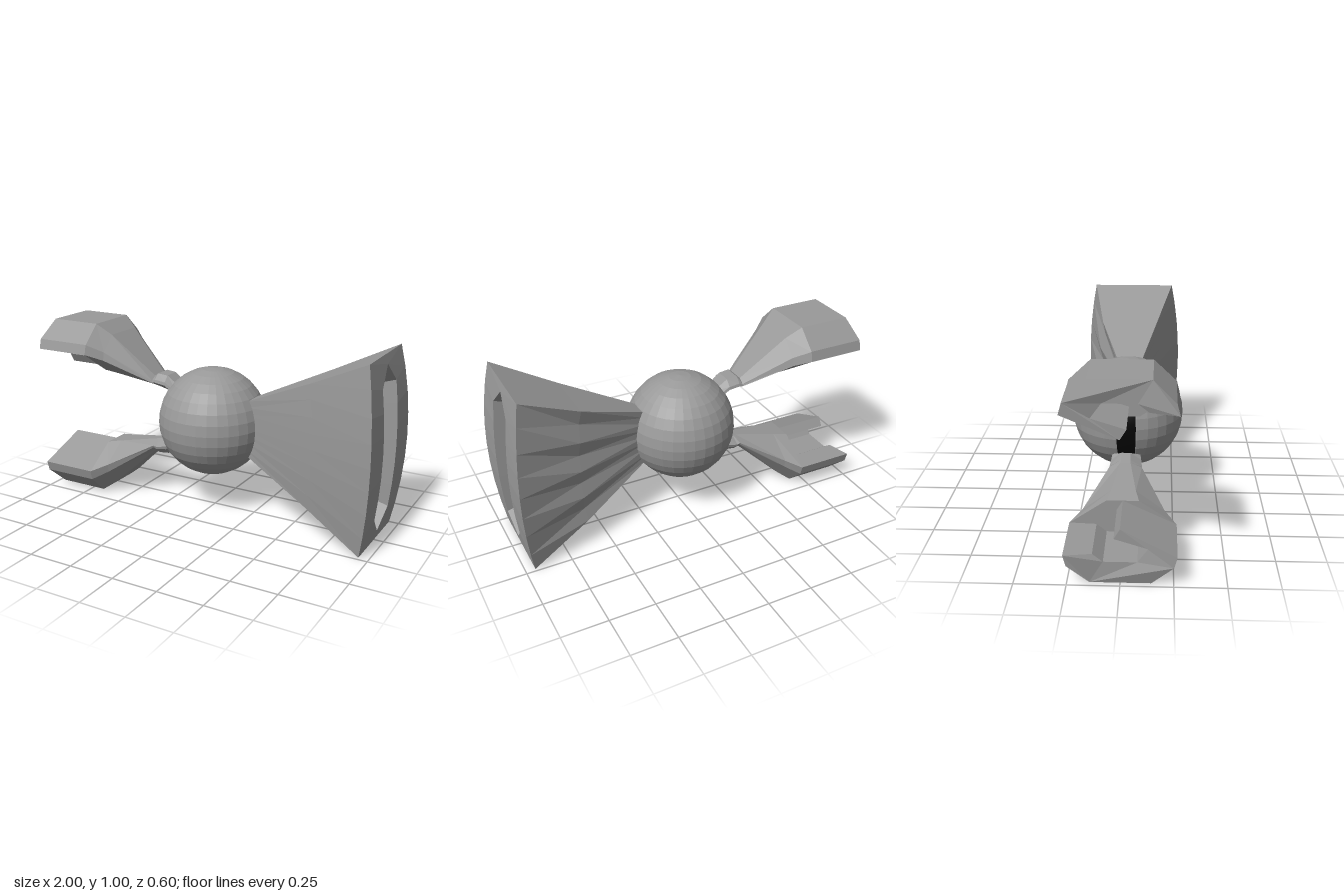
import * as THREE from 'three';

const grey = new THREE.MeshStandardMaterial({ color: 0x999999, flatShading: true, side: THREE.DoubleSide });
const dark = new THREE.MeshStandardMaterial({ color: 0x050505 });

// Skin closed rings of [x, y, z] points, optionally capping both ends
function loft(rings, capped) {
  const n = rings[0].length, index = [];
  for (let i = 0; i < rings.length - 1; i++) {
    for (let j = 0; j < n; j++) {
      const a = i * n + j, b = i * n + (j + 1) % n;
      index.push(a, a + n, b, b, a + n, b + n);
    }
  }
  if (capped) {
    const last = (rings.length - 1) * n;
    const flat = (r) => r.map(([, y, z]) => new THREE.Vector2(z, y));
    for (const [a, b, c] of THREE.ShapeUtils.triangulateShape(flat(rings[0]), [])) index.push(a, b, c);
    for (const [a, b, c] of THREE.ShapeUtils.triangulateShape(flat(rings[rings.length - 1]), []))
      index.push(last + a, last + c, last + b);
  }
  const geo = new THREE.BufferGeometry();
  geo.setAttribute('position', new THREE.Float32BufferAttribute(rings.flat(2), 3));
  geo.setIndex(index);
  const out = geo.toNonIndexed();
  out.computeVertexNormals();
  return out;
}

function add(parent, name, geometry, material = grey) {
  const mesh = new THREE.Mesh(geometry, material);
  mesh.name = name;
  parent.add(mesh);
}

// Eight-sided arm section
function armRing(x, top, bottom, w) {
  const half = [[0.3, 0], [1, 0.45], [0.95, 0.64], [0.55, 1]];
  const at = (s) => ([z, t]) => [x, bottom + (top - bottom) * t, s * z * w];
  return [...half.map(at(1)), ...half.map(at(-1)).reverse()];
}

// Hook-shaped claw section, [z, y]: short wall on one side, long curled lip on the other
const clawLoop = [
  [0.265, 0.845], [0.25, 0.9], [0.145, 1], [-0.145, 1], [-0.25, 0.9], [-0.265, 0.845], [0, 0.72],
  [0.03, 0.77], [-0.13, 0.82], [-0.08, 0.89], [0.08, 0.89], [0.13, 0.85],
];

// Horn section: a loop up the +z side and down the -z side
const rows = [-1, -0.77, -0.5, -0.25, 0, 0.25, 0.5, 0.77, 1];
function hornRing(point, backBump = () => 0) {
  const front = rows.map((t) => point(t));
  const back = front.map(([x, y, z], i) => [x, y, -z - backBump(i)]);
  return [...front, ...back.reverse()];
}

export function createModel() {
  const model = new THREE.Group();
  model.name = 'clawedHornBall';

  // Central ball with a dark slit between the arms
  const ball = new THREE.Group();
  ball.name = 'ball';
  ball.position.set(-0.013, 0.5, 0);
  model.add(ball);
  add(ball, 'ballBody', new THREE.SphereGeometry(0.3, 32, 16));
  add(ball, 'ballSlit', new THREE.SphereGeometry(0.302, 4, 10, -0.17, 0.34, Math.PI / 2 - 0.55, 1.1), dark);

  // Flared horn: outer skin with a rippled back, curved end face, then the tapering slot
  const bulge = (t) => 1 - t * t;
  const endX = (t) => 0.95 + 0.05 * bulge(t);
  const slotZ = (t, w) => w * Math.min(1, (1 - Math.abs(t)) / 0.23);
  add(model, 'horn', loft([
    hornRing((t) => [0.22, 0.5 + 0.155 * t, 0.045]),
    hornRing((t) => [0.62 + 0.03 * bulge(t), 0.5 + 0.335 * t, 0.15 + 0.026 * bulge(t)], (i) => (i % 2 ? 0.005 : 0.028)),
    hornRing((t) => [endX(t), 0.5 + 0.495 * t, 0.24 + 0.05 * bulge(t)]),
    hornRing((t) => [endX(0.89 * t), 0.5 + 0.445 * t, slotZ(t, 0.105)]),
    hornRing((t) => [0.24, 0.5 + 0.15 * t, slotZ(t, 0.042)]),
  ], false));

  // Two arms, each ending in a hollow claw; the lower pair is turned half round the x axis
  const arm = [
    armRing(-0.68, 1, 0.72, 0.265),
    armRing(-0.6, 0.94, 0.705, 0.205),
    armRing(-0.36, 0.72, 0.66, 0.085),
    armRing(-0.34, 0.735, 0.655, 0.085),
    armRing(-0.28, 0.73, 0.64, 0.08),
    armRing(-0.2, 0.67, 0.58, 0.065),
  ];
  const claw = [
    clawLoop.map(([z, y]) => [Math.abs(z) > 0.2 ? -1 : -0.97, y, z]),
    clawLoop.map(([z, y]) => [-0.68, y, z]),
  ];
  const turn = (rings) => rings.map((r) => r.map(([x, y, z]) => [x, 1 - y, -z]));
  for (const [side, place] of [['upper', (r) => r], ['lower', turn]]) {
    add(model, side + 'Arm', loft(place(arm), true));
    add(model, side + 'Claw', loft(place(claw), true));
  }
  return model;
}
